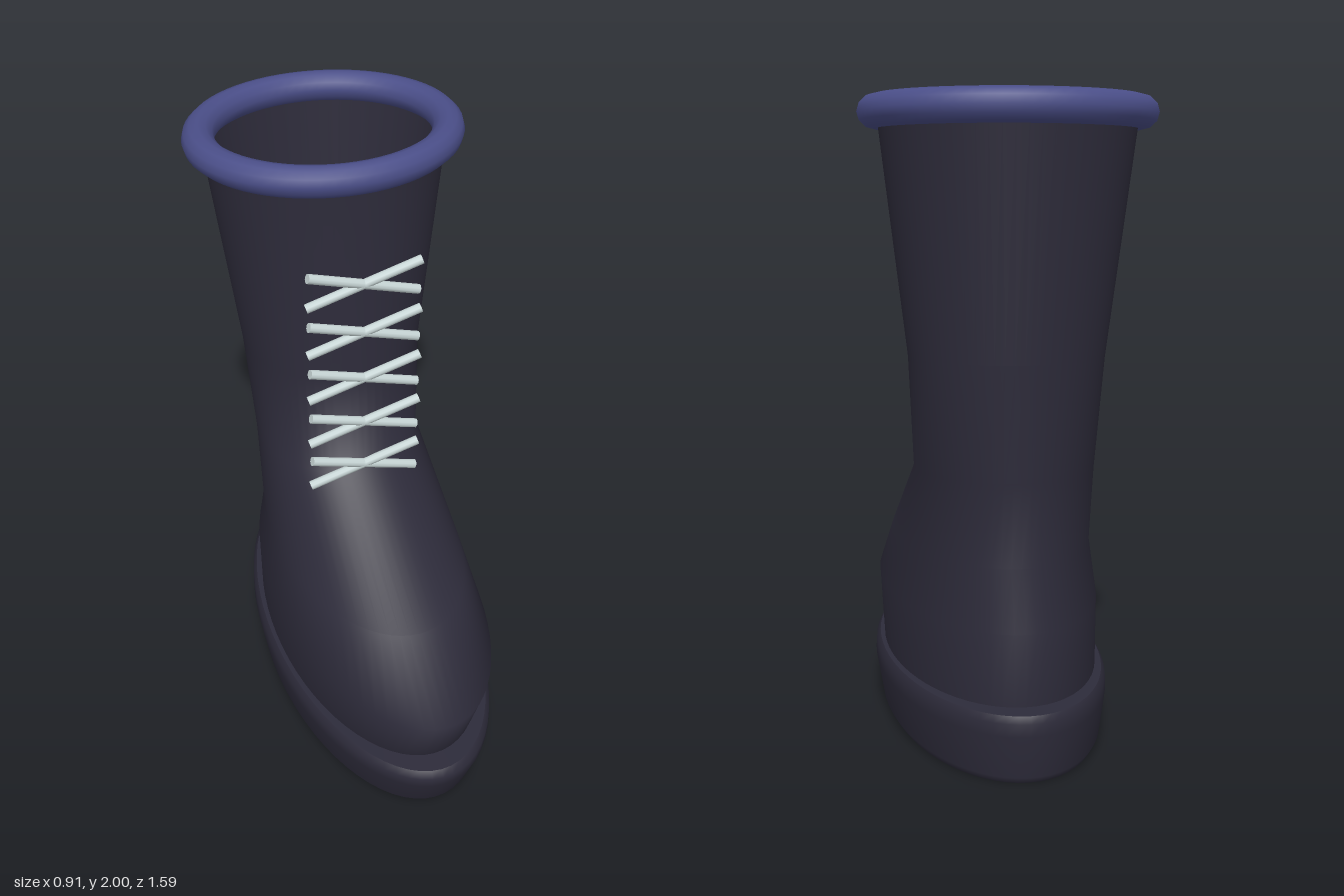
import * as THREE from 'three';

const SEG = 64;

// Lofts elliptical rings [y, halfWidth, backZ, frontZ] from bottom to top.
function loft(rings, capped) {
  const pos = [], idx = [];
  const addRing = ([y, rx, back, front]) => {
    const start = pos.length / 3, zc = (front + back) / 2, rz = (front - back) / 2;
    for (let i = 0; i < SEG; i++) {
      const a = (i / SEG) * Math.PI * 2;
      pos.push(rx * Math.sin(a), y, zc + rz * Math.cos(a));
    }
    return start;
  };
  const starts = rings.map(addRing);
  for (let r = 0; r < starts.length - 1; r++) {
    for (let i = 0; i < SEG; i++) {
      const j = (i + 1) % SEG, p = starts[r], q = starts[r + 1];
      idx.push(p + i, p + j, q + j, p + i, q + j, q + i);
    }
  }
  // Caps have their own vertices so their edges stay crisp
  if (capped) {
    for (const [ring, up] of [[rings[0], false], [rings[rings.length - 1], true]]) {
      const s = addRing(ring), c = pos.length / 3;
      pos.push(0, ring[0], (ring[2] + ring[3]) / 2);
      for (let i = 0; i < SEG; i++) {
        const j = (i + 1) % SEG;
        if (up) idx.push(c, s + i, s + j);
        else idx.push(c, s + j, s + i);
      }
    }
  }
  const g = new THREE.BufferGeometry();
  g.setAttribute('position', new THREE.Float32BufferAttribute(pos, 3));
  g.setIndex(idx);
  g.computeVertexNormals();
  return g;
}

// Cylinder running between two points.
function rod(a, b, radius, material) {
  const dir = b.clone().sub(a);
  const mesh = new THREE.Mesh(new THREE.CylinderGeometry(radius, radius, dir.length(), 10), material);
  mesh.position.copy(a).add(b).multiplyScalar(0.5);
  mesh.quaternion.setFromUnitVectors(new THREE.Vector3(0, 1, 0), dir.normalize());
  return mesh;
}

export function createModel() {
  const leather = new THREE.MeshStandardMaterial({ color: 0x2d2b3a });
  leather.name = 'darkLeather';
  leather.side = THREE.DoubleSide;
  const trim = new THREE.MeshStandardMaterial({ color: 0x4a4e88 });
  trim.name = 'blueTrim';
  const cord = new THREE.MeshStandardMaterial({ color: 0xc6d4d4 });
  cord.name = 'paleCord';

  const boot = new THREE.Group();
  boot.name = 'boot';
  const add = (name, mesh) => { mesh.name = name; boot.add(mesh); return mesh; };

  // Thick oval sole, tapering towards the ground
  add('sole', new THREE.Mesh(loft([
    [0, 0.335, -0.755, 0.715],
    [0.02, 0.348, -0.77, 0.738],
    [0.15, 0.37, -0.787, 0.795],
    [0.19, 0.367, -0.79, 0.8],
    [0.21, 0.355, -0.775, 0.78],
  ], true), leather));

  // Foot and shaft in one open shell
  add('upper', new THREE.Mesh(loft([
    [0.2, 0.34, -0.7, 0.705],
    [0.43, 0.35, -0.7, 0.8],
    [0.61, 0.315, -0.63, 0.545],
    [0.87, 0.28, -0.645, 0],
    [1.22, 0.302, -0.675, -0.065],
    [1.95, 0.395, -0.735, -0.058],
  ], false), leather));

  // Padded collar around the opening
  const collar = add('collar', new THREE.Mesh(new THREE.TorusGeometry(0.4, 0.053, 12, SEG), trim));
  collar.rotation.x = Math.PI / 2;
  collar.scale.set(1, 0.87, 0.95);
  collar.position.set(0, 1.95, -0.398);

  // Five crossed pairs of laces, leaning forward at their upper ends
  const laces = new THREE.Group();
  laces.name = 'laces';
  for (let row = 0; row < 5; row++) {
    const y = 0.905 + row * 0.176;
    for (const side of [-1, 1]) {
      const low = new THREE.Vector3(-side * 0.187, y - 0.061, -0.018);
      const high = new THREE.Vector3(side * 0.187, y + 0.061, 0.006);
      const lace = rod(low, high, 0.016, cord);
      lace.name = 'lace';
      laces.add(lace);
    }
  }
  boot.add(laces);

  return boot;
}
